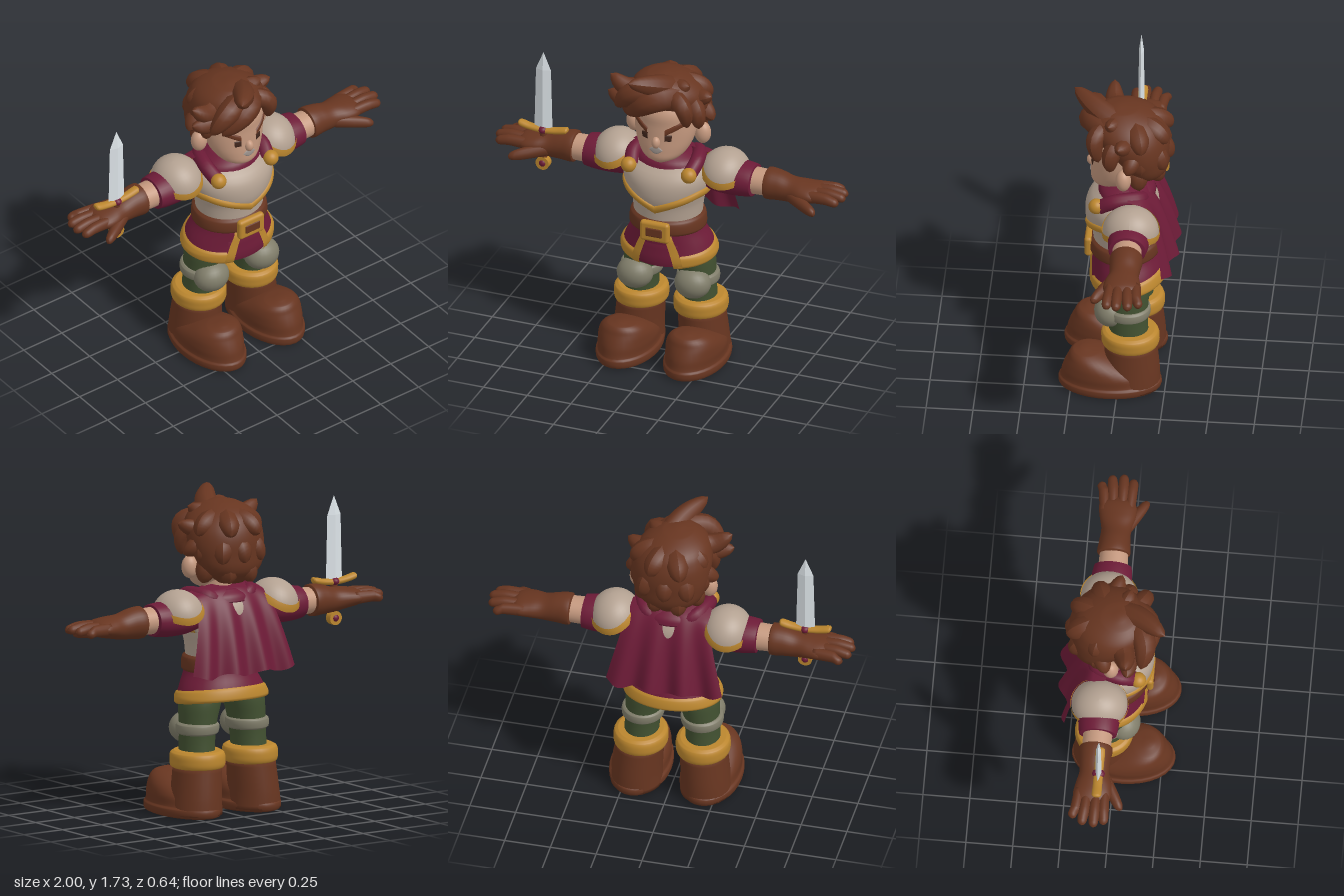
import * as THREE from 'three';
import { RoundedBoxGeometry } from 'three/addons/geometries/RoundedBoxGeometry.js';

const mat = (name, color) => new THREE.MeshStandardMaterial({ name, color, side: THREE.DoubleSide });
const { sin, cos, PI, max, min, abs } = Math;

// Smooth lookup in a list of sections [t, centreU, centreV, radiusU, radiusV]
function at(S, t) {
  let i = 0;
  while (i < S.length - 2 && t > S[i + 1][0]) i++;
  const a = S[i], b = S[i + 1], h = b[0] - a[0], w = min(1, max(0, (t - a[0]) / h));
  const slope = (j, k) => {
    const p = S[max(0, j - 1)], q = S[min(S.length - 1, j + 1)];
    return (q[k] - p[k]) / (q[0] - p[0]);
  };
  return [1, 2, 3, 4].map(k => a[k] + (b[k] - a[k]) * w * w * (3 - 2 * w)
    + h * (slope(i, k) * w * (1 - w) ** 2 - slope(i + 1, k) * w * w * (1 - w)));
}

function build(pos, idx) {
  const g = new THREE.BufferGeometry();
  g.setAttribute('position', new THREE.Float32BufferAttribute(pos, 3));
  g.setIndex(idx);
  g.computeVertexNormals();
  return g;
}

// Closed solid through elliptical sections; axis y uses (x, z), axis x uses (z, y)
function loft(S, axis = 'y', n = 32, sub = 5) {
  const pos = [], idx = [], rings = (S.length - 1) * sub + 1;
  const put = (t, u, v) => axis === 'y' ? pos.push(u, t, v) : pos.push(t, v, u);
  for (let r = 0; r < rings; r++) {
    const k = min(S.length - 2, Math.floor(r / sub));
    const t = S[k][0] + (S[k + 1][0] - S[k][0]) * (r - k * sub) / sub;
    const [cu, cv, ru, rv] = at(S, t);
    for (let j = 0; j < n; j++) {
      const a = j / n * 2 * PI;
      put(t, cu + max(0, ru) * cos(a), cv + max(0, rv) * sin(a));
      if (r < rings - 1) {
        const p = r * n + j, q = r * n + (j + 1) % n;
        idx.push(p, p + n, q, q, p + n, q + n);
      }
    }
  }
  const c = rings * n, e = S[S.length - 1];
  put(S[0][0], S[0][1], S[0][2]);
  put(e[0], e[1], e[2]);
  for (let j = 0; j < n; j++) {
    const k = (j + 1) % n, o = (rings - 1) * n;
    idx.push(c, j, k, c + 1, o + k, o + j);
  }
  return build(pos, idx);
}

// Open sheet from a rule (u, v) -> [x, y, z]
function sheet(fn, nu, nv) {
  const pos = [], idx = [];
  for (let i = 0; i <= nv; i++) for (let j = 0; j <= nu; j++) {
    pos.push(...fn(j / nu, i / nv));
    if (i < nv && j < nu) {
      const p = i * (nu + 1) + j, q = p + nu + 1;
      idx.push(p, q, p + 1, p + 1, q, q + 1);
    }
  }
  return build(pos, idx);
}

// Raised plate hugging a lofted body between two angles (degrees, 90 is the front)
function wrap(S, a0, a1, lo, hi, off, skew = 0) {
  const f = (h, a) => typeof h === 'function' ? h(a) : h;
  return sheet((u, v) => {
    const a = (a0 + (a1 - a0) * u + skew * v) * PI / 180;
    const y = f(lo, a) + (f(hi, a) - f(lo, a)) * v;
    const [cx, cz, rx, rz] = at(S, y), o = off * max(0, sin(PI * v)) ** 0.3 + 0.002;
    return [cx + (rx + o) * cos(a), y, cz + (rz + o) * sin(a)];
  }, max(6, Math.round(abs(a1 - a0) / 5)), 10);
}

const path = points => new THREE.CatmullRomCurve3(points.map(p => new THREE.Vector3(...p)));

// Tapered, pointed hair lock along a curve
function lock(r, ...points) {
  const curve = path(points);
  const g = new THREE.TubeGeometry(curve, 14, r, 10), P = g.attributes.position, v = new THREE.Vector3();
  for (let i = 0; i < P.count; i++) {
    const t = Math.floor(i / 11) / 14, c = curve.getPointAt(t);
    v.fromBufferAttribute(P, i).sub(c).multiplyScalar((1 - t) ** 0.6 * (0.75 + 0.9 * t)).add(c);
    P.setXYZ(i, v.x, v.y, v.z);
  }
  g.computeVertexNormals();
  return g;
}

const ball = (x, y, z, rx, ry = rx, rz = rx) => new THREE.SphereGeometry(1, 24, 16).scale(rx, ry, rz).translate(x, y, z);

export function createModel() {
  const model = new THREE.Group();
  model.name = 'knight';
  const brown = mat('brown leather and hair', 0x673520), maroon = mat('maroon cloth', 0x6d1b37);
  const gold = mat('gold trim', 0xbb862e), plate = mat('pale armour', 0xb3a191), skin = mat('skin', 0xc4987e);
  const green = mat('green trousers', 0x425131), grey = mat('knee grey', 0x807d6a), steel = mat('blade steel', 0xdce3e7);
  const dark = mat('dark eyes', 0x40261c), stubble = mat('mouth grey', 0x9d938d);

  const add = (name, g, m) => {
    const mesh = new THREE.Mesh(g, m);
    mesh.name = name;
    model.add(mesh);
  };
  // Adds a left part and its mirrored right twin
  const both = (name, g, m) => {
    add(name + 'Left', g, m);
    const r = g.clone().scale(-1, 1, 1), I = r.index.array;
    for (let i = 0; i < I.length; i += 3) [I[i], I[i + 1]] = [I[i + 1], I[i]];
    add(name + 'Right', r, m);
  };

  // Torso, breastplate and collar
  const body = [[0.84, 0, -0.02, 0.185, 0.17], [0.93, 0, -0.02, 0.195, 0.175], [1.0, 0, -0.015, 0.21, 0.185],
    [1.1, 0, -0.02, 0.22, 0.18], [1.17, 0, -0.03, 0.19, 0.14], [1.21, 0, -0.03, 0.1, 0.1]];
  const hem = a => 0.91 + 0.085 * min(1, abs(cos(a)) * 1.1);
  add('torso', loft(body), plate);
  add('breastplate', wrap(body, -25, 205, hem, 1.165, 0.02), plate);
  add('breastplateTrim', wrap(body, -25, 205, hem, a => hem(a) + 0.056, 0.03), gold);
  add('collar', loft([[1.155, 0, -0.03, 0.19, 0.155], [1.19, 0, -0.03, 0.16, 0.14], [1.22, 0, -0.03, 0.1, 0.1]]), maroon);

  // Skirt with gold hem, front panel and front edges
  const skirt = [[0.64, 0, -0.04, 0.258, 0.201], [0.7, 0, -0.035, 0.235, 0.19], [0.78, 0, -0.02, 0.195, 0.175], [0.86, 0, -0.02, 0.185, 0.17]];
  const low = a => 0.61 - 0.025 * sin(a);
  add('skirt', loft(skirt), maroon);
  add('skirtHem', wrap(skirt, 117, 423, low, a => low(a) + 0.07, 0.01), gold);
  add('skirtPanel', wrap(skirt, 60, 120, a => 0.635 - 0.04 * sin(a), 0.72, 0.004), maroon);
  both('skirtEdge', wrap(skirt, 57, 68, 0.587, 0.78, 0.014, 9), gold);

  // Belt and buckle
  add('belt', wrap(skirt, 0, 360, 0.775, 0.862, 0.018), brown);
  add('buckle', new RoundedBoxGeometry(0.165, 0.118, 0.04, 4, 0.018).translate(0, 0.806, 0.172), gold);
  add('buckleCentre', new RoundedBoxGeometry(0.095, 0.052, 0.02, 3, 0.008).translate(0, 0.806, 0.187), brown);

  // Legs, knee guards and boots
  both('leg', loft([[0.25, 0.17, -0.06, 0.095, 0.105], [0.4, 0.165, -0.05, 0.093, 0.105], [0.52, 0.155, -0.045, 0.1, 0.112],
    [0.62, 0.138, -0.04, 0.112, 0.12], [0.72, 0.11, -0.03, 0.1, 0.11]]), green);
  both('kneeBand', loft([[0.445, 0.162, -0.048, 0.1, 0.108], [0.455, 0.162, -0.048, 0.112, 0.118], [0.495, 0.16, -0.048, 0.113, 0.12], [0.507, 0.16, -0.047, 0.1, 0.108]]), grey);
  both('kneePad', ball(0.165, 0.467, 0.045, 0.1, 0.086, 0.087), grey);
  both('bootCuff', loft([[0.262, 0.17, -0.062, 0.12, 0.13], [0.274, 0.17, -0.062, 0.141, 0.15], [0.31, 0.17, -0.062, 0.146, 0.156],
    [0.346, 0.17, -0.06, 0.141, 0.15], [0.36, 0.17, -0.06, 0.12, 0.13]]), gold);
  both('bootShaft', loft([[0.02, 0.19, -0.07, 0.14, 0.155], [0.12, 0.185, -0.07, 0.133, 0.15], [0.28, 0.172, -0.065, 0.128, 0.138]]), brown);
  both('bootFoot', loft([[0.005, 0.19, 0.045, 0.145, 0.25], [0.014, 0.192, 0.045, 0.161, 0.271], [0.05, 0.193, 0.045, 0.164, 0.275],
    [0.065, 0.193, 0.05, 0.152, 0.26], [0.12, 0.193, 0.07, 0.15, 0.227], [0.18, 0.192, 0.125, 0.13, 0.145],
    [0.222, 0.19, 0.165, 0.085, 0.08], [0.237, 0.19, 0.18, 0.02, 0.02]]), brown);

  // Arms, gloves and fingers
  both('sleeve', loft([[0.15, -0.06, 1.1, 0.09, 0.075], [0.3, -0.07, 1.09, 0.11, 0.095], [0.475, -0.07, 1.09, 0.1, 0.086], [0.48, -0.07, 1.09, 0.07, 0.06]], 'x'), maroon);
  both('forearm', loft([[0.42, -0.07, 1.09, 0.08, 0.074], [0.58, -0.07, 1.09, 0.075, 0.07]], 'x'), skin);
  both('glove', loft([[0.542, -0.072, 1.09, 0.07, 0.07], [0.55, -0.072, 1.09, 0.088, 0.086], [0.62, -0.072, 1.088, 0.083, 0.081],
    [0.69, -0.07, 1.08, 0.08, 0.068], [0.76, -0.068, 1.083, 0.097, 0.058], [0.83, -0.073, 1.085, 0.098, 0.044], [0.87, -0.073, 1.085, 0.06, 0.022]], 'x'), brown);
  for (const [z, tip, y] of [[-0.165, 0.955, 1.08], [-0.112, 0.992, 1.088], [-0.052, 1.0, 1.09], [0.0, 0.98, 1.083]]) {
    const z0 = -0.072 + (z + 0.08) * 0.8;
    both('finger', loft([[0.79, z0, 1.085, 0.028, 0.035], [0.9, (z + z0) / 2, y + 0.008, 0.029, 0.03],
      [tip - 0.025, z, y, 0.025, 0.025], [tip - 0.007, z, y - 0.002, 0.016, 0.016], [tip, z, y - 0.003, 0.003, 0.003]], 'x', 14), brown);
  }
  both('thumb', loft([[0.67, -0.03, 1.07, 0.03, 0.035], [0.77, 0.02, 1.055, 0.038, 0.036], [0.84, 0.062, 1.045, 0.03, 0.03],
    [0.87, 0.075, 1.04, 0.018, 0.018], [0.878, 0.078, 1.04, 0.003, 0.003]], 'x', 14), brown);

  // Shoulder guards: domes whose gold rim dips at front and back and arches over the arm
  const dome = (t0, t1, k) => sheet((u, v) => {
    const a = u * 2 * PI, t = t0 + (t1 - t0) * v + 0.42 * sin(a) ** 2 * (1 - v * (t1 < 0.1));
    return [0.135 * k * sin(t) * cos(a), 0.14 * k * cos(t), 0.15 * k * sin(t) * sin(a)];
  }, 36, 12).rotateZ(-0.2).translate(0.305, 1.1, -0.075);
  both('shoulderGuard', dome(1.3, 0.001, 1), plate);
  both('shoulderRim', dome(1.34, 1.05, 1.04), gold);

  // Cape, shoulder drapes and clasps
  add('cape', sheet((u, v) => {
    const s = 1 - 2 * u, w = 0.215 + 0.105 * v;
    return [s * w, 1.245 - 0.46 * v - 0.03 * s * s * (1 - v) - 0.012 * v * cos(s * 9),
      -0.05 - 0.245 * v ** 0.4 + 0.022 * v * cos(s * 11 + 0.6) + 0.045 * v * s * s];
  }, 60, 24), maroon);
  both('drape', new THREE.TubeGeometry(path([[0.165, 1.14, 0.1], [0.18, 1.19, 0.02], [0.14, 1.19, -0.1], [0.08, 1.16, -0.12]]), 20, 0.04, 12), maroon);
  both('clasp', ball(0.172, 1.15, 0.12, 0.042), gold);

  // Head and face
  const head = [[1.2, 0, 0.075, 0.04, 0.05], [1.23, 0, 0.06, 0.1, 0.098], [1.28, 0, 0.035, 0.14, 0.127], [1.35, 0, 0.015, 0.165, 0.143],
    [1.42, 0, 0.005, 0.172, 0.15], [1.5, 0, 0, 0.165, 0.15], [1.57, 0, -0.02, 0.12, 0.11], [1.6, 0, -0.02, 0.03, 0.03]];
  add('neck', new THREE.CylinderGeometry(0.075, 0.085, 0.16, 24).translate(0, 1.21, -0.015), skin);
  add('head', loft(head), skin);
  both('ear', ball(0.195, 1.345, -0.025, 0.045, 0.062, 0.042), skin);
  add('nose', ball(0, 1.335, 0.157, 0.024, 0.034, 0.028), skin);
  both('eyebrow', wrap(head, 40, 74, a => 1.352 + 0.1 * cos(a), a => 1.388 + 0.095 * cos(a), 0.008), brown);
  both('eye', wrap(head, 61, 74, 1.348, 1.385, 0.004), dark);
  const smile = a => 0.022 * (1 - (cos(a) / 0.26) ** 2);
  add('mouth', wrap(head, 75, 105, a => 1.292 - smile(a), a => 1.292 + smile(a), 0.003), stubble);

  // Hair: core cap, styled front locks, then rows of back locks
  add('hairCap', loft([[1.26, 0, -0.13, 0.07, 0.06], [1.33, 0, -0.13, 0.165, 0.12], [1.42, 0, -0.105, 0.205, 0.155], [1.5, 0, -0.07, 0.215, 0.19],
    [1.57, -0.005, -0.04, 0.205, 0.2], [1.63, -0.015, -0.02, 0.165, 0.175], [1.675, -0.02, 0, 0.09, 0.1], [1.69, -0.02, 0.01, 0.02, 0.02]]), brown);
  const hair = (name, ...shape) => add(name, lock(...shape), brown);
  hair('crest', 0.08, [0.08, 1.56, -0.08], [-0.01, 1.655, 0.12], [-0.12, 1.715, 0.26]);
  hair('crownBack', 0.075, [0, 1.58, 0.05], [-0.03, 1.61, -0.07], [-0.03, 1.61, -0.19]);
  hair('crownLeft', 0.07, [-0.02, 1.58, -0.05], [0.06, 1.61, 0.02], [0.15, 1.655, 0.06]);
  hair('fringeMiddle', 0.085, [0.1, 1.58, 0.03], [-0.02, 1.585, 0.16], [-0.17, 1.47, 0.15]);
  hair('fringeRight', 0.082, [0.05, 1.59, 0.05], [-0.13, 1.605, 0.15], [-0.24, 1.5, 0.14]);
  hair('fringeLeft', 0.062, [0.02, 1.6, 0.06], [0.14, 1.56, 0.13], [0.16, 1.43, 0.11]);
  hair('upperTuftRight', 0.075, [-0.03, 1.58, -0.03], [-0.2, 1.575, 0.05], [-0.3, 1.645, 0.06]);
  hair('lowerTuftRight', 0.07, [-0.06, 1.55, 0.03], [-0.22, 1.52, 0.07], [-0.31, 1.55, 0.07]);
  hair('upperTuftLeft', 0.065, [0.06, 1.56, -0.04], [0.16, 1.55, -0.03], [0.255, 1.58, 0]);
  both('sideburn', lock(0.065, [0.1, 1.56, -0.02], [0.185, 1.5, 0.04], [0.2, 1.4, 0.045]), brown);
  both('sideTuft', lock(0.062, [0.12, 1.5, -0.08], [0.19, 1.46, -0.07], [0.25, 1.42, -0.045]), brown);
  for (const [count, y, r, drop] of [[4, 1.56, 0.255, 0.03], [5, 1.45, 0.25, 0.07], [4, 1.34, 0.205, 0.075]])
    for (let i = 0; i < count; i++) {
      const a = PI * (1.1 + 0.8 * i / (count - 1)), R = r * (i % 2 ? 1 : 0.94);
      const p = (k, h) => [R * k * 0.88 * cos(a), h, -0.05 + R * k * sin(a) * 0.94];
      hair('backLock', 0.08, p(0.25, y + 0.04), p(0.72, y + 0.01), p(1, y - drop));
    }

  // Sword in the right hand
  const X = -0.725, Z = -0.045;
  const blade = loft([[1.17, X, Z, 0.052, 0.016], [1.53, X, Z, 0.043, 0.014], [1.632, X, Z, 0.001, 0.001]], 'y', 4, 1).toNonIndexed();
  blade.computeVertexNormals();
  add('blade', blade, steel);
  const bar = [-0.14, -0.13, -0.07, 0, 0.07, 0.13, 0.14].map(d => [X + d, Z, 1.168 + 1.1 * d * d, abs(d) > 0.135 ? 0.015 : 0.025, abs(d) > 0.135 ? 0.009 : 0.018]);
  add('guard', loft(bar, 'x', 16), gold);
  add('guardGem', ball(X, 1.17, Z, 0.026, 0.022, 0.034), maroon);
  add('grip', new THREE.CylinderGeometry(0.02, 0.02, 0.2, 16).translate(X, 1.08, Z), brown);
  add('pommel', new THREE.CylinderGeometry(0.038, 0.038, 0.04, 24).rotateX(PI / 2).translate(X, 0.972, Z), gold);
  add('pommelGem', ball(X, 0.972, Z, 0.025, 0.025, 0.03), maroon);
  return model;
}
